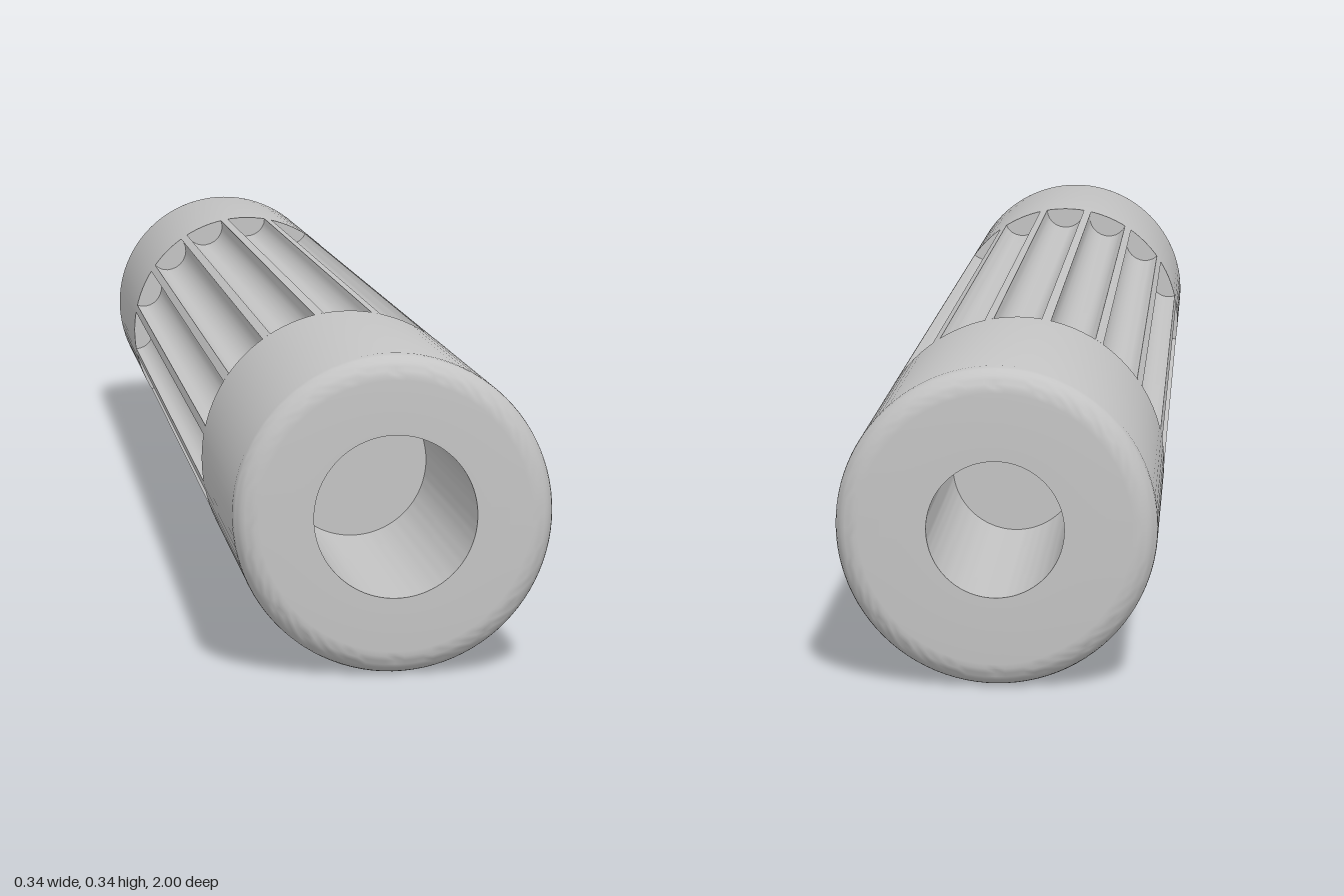
import * as THREE from 'three';
import { toCreasedNormals } from 'three/addons/utils/BufferGeometryUtils.js';

const R = 0.171;          // outer radius
const GRIP = 0.6;         // half length of the fluted grip
const FILLET = 0.026;     // rounding of the outer end edges
const FLUTES = 16;

// Closed-off end collar with a blind bore, turned about its axis and laid along +z
function collarGeometry(bore, depth) {
  const p = [new THREE.Vector2(R - 0.05, GRIP), new THREE.Vector2(R, GRIP)];
  for (let i = 0; i <= 8; i++) {
    const a = (i / 8) * Math.PI / 2;
    p.push(new THREE.Vector2(R - FILLET + FILLET * Math.cos(a), 1 - FILLET + FILLET * Math.sin(a)));
  }
  p.push(new THREE.Vector2(bore, 1), new THREE.Vector2(bore, 1 - depth), new THREE.Vector2(0, 1 - depth));
  const geo = new THREE.LatheGeometry(p, 96);
  geo.rotateX(Math.PI / 2);
  return toCreasedNormals(geo, 0.5);
}

// Round section with scooped flutes, leaving narrow ribs between them
function gripGeometry() {
  const halfWidth = 0.028, depth = 0.026, steps = 12;
  const half = Math.asin(halfWidth / R);
  const edge = R * Math.cos(half);
  const pts = [];
  for (let k = 0; k < FLUTES; k++) {
    const a = (k / FLUTES) * Math.PI * 2;
    const c = Math.cos(a), s = Math.sin(a);
    for (let i = 0; i <= steps; i++) {
      const t = (i / steps) * Math.PI;
      const u = edge - depth * Math.sin(t), v = -halfWidth * Math.cos(t);
      pts.push(new THREE.Vector2(u * c - v * s, u * s + v * c));
    }
    // crown of the rib
    const mid = a + Math.PI / FLUTES;
    pts.push(new THREE.Vector2(R * Math.cos(mid), R * Math.sin(mid)));
  }
  const geo = new THREE.ExtrudeGeometry(new THREE.Shape(pts), { depth: 2 * GRIP, bevelEnabled: false });
  geo.translate(0, 0, -GRIP);
  return toCreasedNormals(geo, 0.5);
}

export function createModel() {
  const metal = new THREE.MeshStandardMaterial({ color: 0xc4c4c4 });
  metal.name = 'plain grey';
  const model = new THREE.Group();
  model.name = 'flutedHandle';

  const add = (name, geo) => {
    const mesh = new THREE.Mesh(geo, metal);
    mesh.name = name;
    mesh.position.y = R;
    model.add(mesh);
    return mesh;
  };

  add('flutedGrip', gripGeometry());
  add('frontCollar', collarGeometry(0.087, 0.36));
  add('backCollar', collarGeometry(0.073, 0.36)).rotation.y = Math.PI;
  return model;
}
